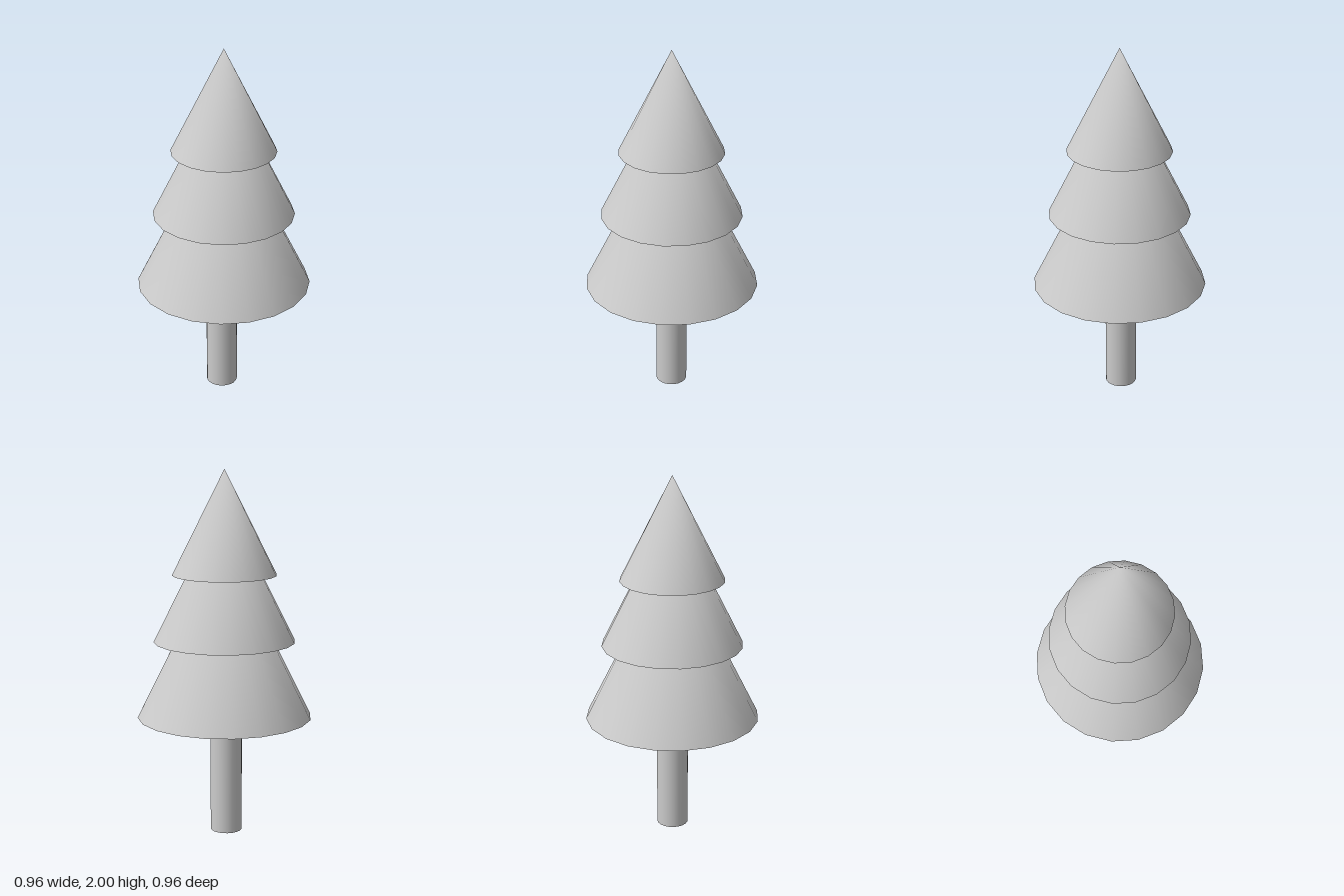
import * as THREE from 'three';

const SIDES = 20;
const material = new THREE.MeshStandardMaterial({ color: 0xcccccc });

// Cone standing on baseY, with smooth shading that rounds over at the tip
function foliageTier(name, radius, baseY, tipY) {
  const height = tipY - baseY;
  const geometry = new THREE.ConeGeometry(radius, height, SIDES);
  const { position, normal } = geometry.attributes;
  for (let i = 0; i < position.count; i++) {
    if (position.getY(i) > height / 2 - 1e-4) normal.setXYZ(i, 0, 1, 0);
  }
  geometry.translate(0, baseY + height / 2, 0);
  const mesh = new THREE.Mesh(geometry, material);
  mesh.name = name;
  return mesh;
}

export function createModel() {
  const tree = new THREE.Group();
  tree.name = 'tree';

  // Trunk, slightly off centre, ending just inside the lowest tier
  const trunkHeight = 0.7;
  const trunk = new THREE.Mesh(
    new THREE.CylinderGeometry(0.087, 0.087, trunkHeight, SIDES), material);
  trunk.position.set(-0.011, trunkHeight / 2, -0.004);
  trunk.name = 'trunk';
  tree.add(trunk);

  // Three overlapping tiers of foliage
  tree.add(
    foliageTier('lowerFoliage', 0.478, 0.652, 1.61),
    foliageTier('middleFoliage', 0.386, 1.072, 1.845),
    foliageTier('upperFoliage', 0.284, 1.435, 2));

  return tree;
}
